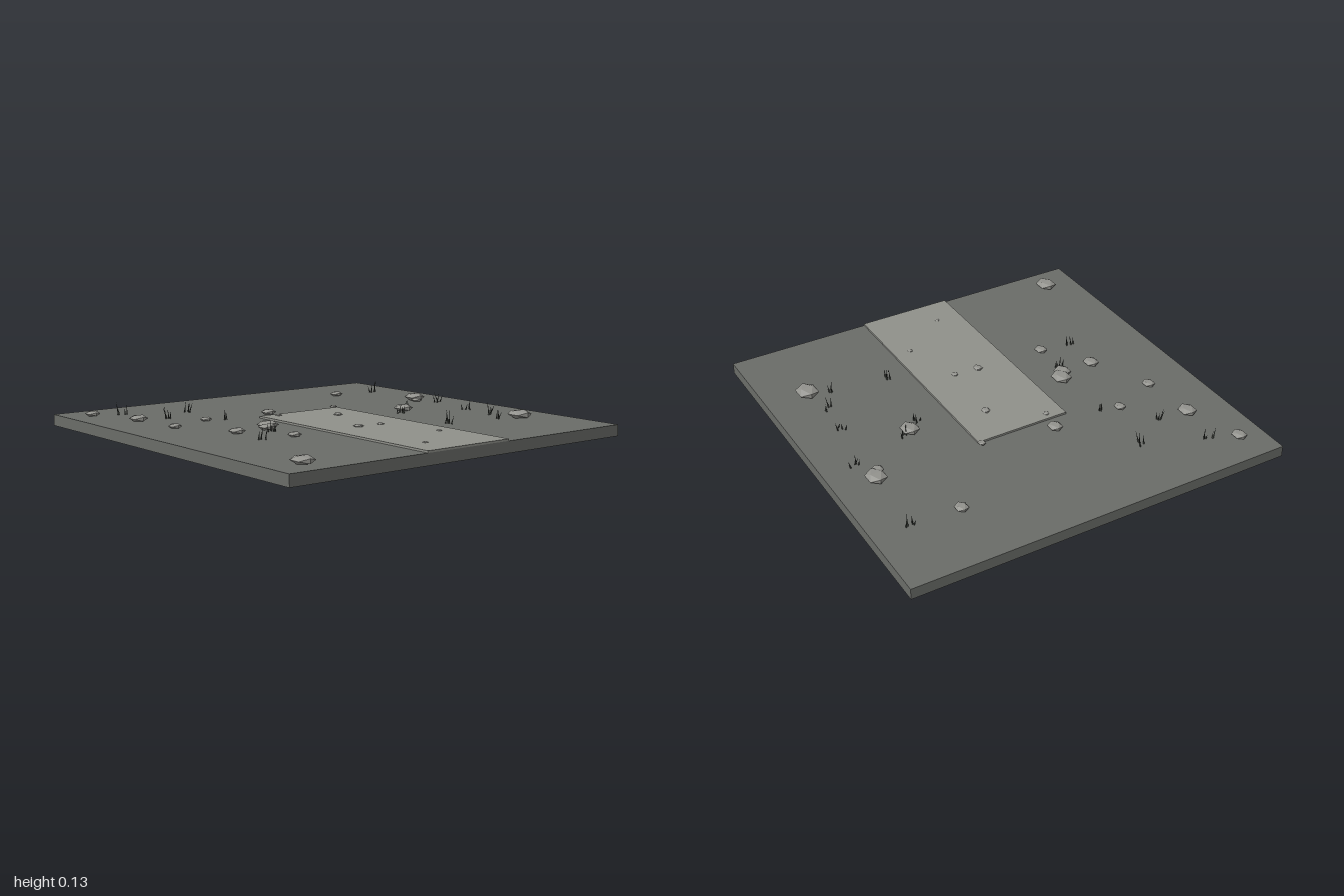
import * as THREE from 'three';

const GROUND = 0.057;
const PATH_TOP = 0.067;

function material(name, color) {
  const m = new THREE.MeshStandardMaterial({ color, flatShading: true });
  m.name = name;
  return m;
}

// Small seeded generator for the lean and size of the grass blades
function seeded(seed) {
  return () => {
    seed = (seed * 16807) % 2147483647;
    return seed / 2147483647;
  };
}

export function createModel() {
  const model = new THREE.Group();
  model.name = 'groundTile';
  const soil = material('dark grey soil', 0x6a6c68);
  const paving = material('pale grey paving', 0x8f908a);
  const stone = material('grey stone', 0x92928d);
  const dryGrass = material('dark grass', 0x383c36);

  const add = (parent, name, geometry, mat, x, y, z) => {
    const mesh = new THREE.Mesh(geometry, mat);
    mesh.name = name;
    mesh.position.set(x, y, z);
    parent.add(mesh);
    return mesh;
  };
  const group = (name) => {
    const g = new THREE.Group();
    g.name = name;
    model.add(g);
    return g;
  };

  // Ground slab and the raised path running to the front edge
  add(model, 'groundSlab', new THREE.BoxGeometry(2, GROUND, 2), soil, 0, GROUND / 2, 0);
  add(model, 'path', new THREE.BoxGeometry(0.496, PATH_TOP - GROUND, 1.25), paving,
    -0.002, (PATH_TOP + GROUND) / 2, 0.375);

  // Flattened faceted stones: x, z, half width
  const stoneShape = new THREE.IcosahedronGeometry(1, 0);
  stoneShape.scale(1 / 0.851, 1 / 0.851, 1 / 0.851);
  const addStone = (parent, name, x, z, r, base) => {
    const h = r * 0.4;
    add(parent, name, stoneShape, stone, x, base + h * 0.95, z).scale.set(r, h, r * 1.15);
  };

  const rocks = group('rocks');
  [
    [-0.87, -0.83, 0.032], [-0.775, -0.54, 0.039], [-0.75, -0.245, 0.028],
    [-0.51, -0.34, 0.025], [-0.14, -0.325, 0.032], [0.555, -0.64, 0.029],
    [0.79, -0.25, 0.045], [0.755, -0.195, 0.024], [0.48, 0.01, 0.041],
    [-0.395, 0.02, 0.044], [-0.43, 0.065, 0.037], [-0.605, 0.065, 0.034],
    [-0.445, 0.3, 0.028], [0.78, 0.55, 0.05], [-0.825, 0.86, 0.046],
  ].forEach(([x, z, r]) => addStone(rocks, 'rock', x, z, r, GROUND));

  // Pebbles scattered on the path
  const pebbles = group('pebbles');
  [
    [-0.16, -0.21, 0.014], [0.235, -0.265, 0.017], [0.085, -0.04, 0.019],
    [-0.07, 0.31, 0.021], [0.06, 0.32, 0.015], [0.155, 0.635, 0.012], [-0.115, 0.835, 0.011],
  ].forEach(([x, z, r]) => addStone(pebbles, 'pebble', x, z, r, 0.063));

  // Grass tufts: a few leaning three-sided blades each
  const blade = new THREE.ConeGeometry(0.0045, 1, 3);
  blade.translate(0, 0.5, 0);
  const rand = seeded(41);
  const spread = (s) => (rand() - 0.5) * s;
  const grass = group('grass');
  [
    [-0.73, -0.775], [-0.43, -0.64], [0.81, -0.64], [-0.615, -0.525], [-0.425, -0.31],
    [0.53, -0.02], [0.835, -0.11], [0.405, 0.06], [-0.445, 0.11], [-0.615, 0.27],
    [0.76, 0.195], [0.745, 0.375], [0.37, 0.475], [0.66, 0.515],
  ].forEach(([x, z]) => {
    const tuft = new THREE.Group();
    tuft.name = 'grassTuft';
    tuft.position.set(x, GROUND, z);
    grass.add(tuft);
    for (let i = 0; i < 4; i++) {
      const mesh = add(tuft, 'grassBlade', blade, dryGrass, spread(0.045), 0, spread(0.04));
      mesh.scale.y = 0.03 + rand() * 0.042;
      mesh.rotation.set(spread(0.6), rand() * 6, spread(0.6));
    }
  });

  return model;
}
